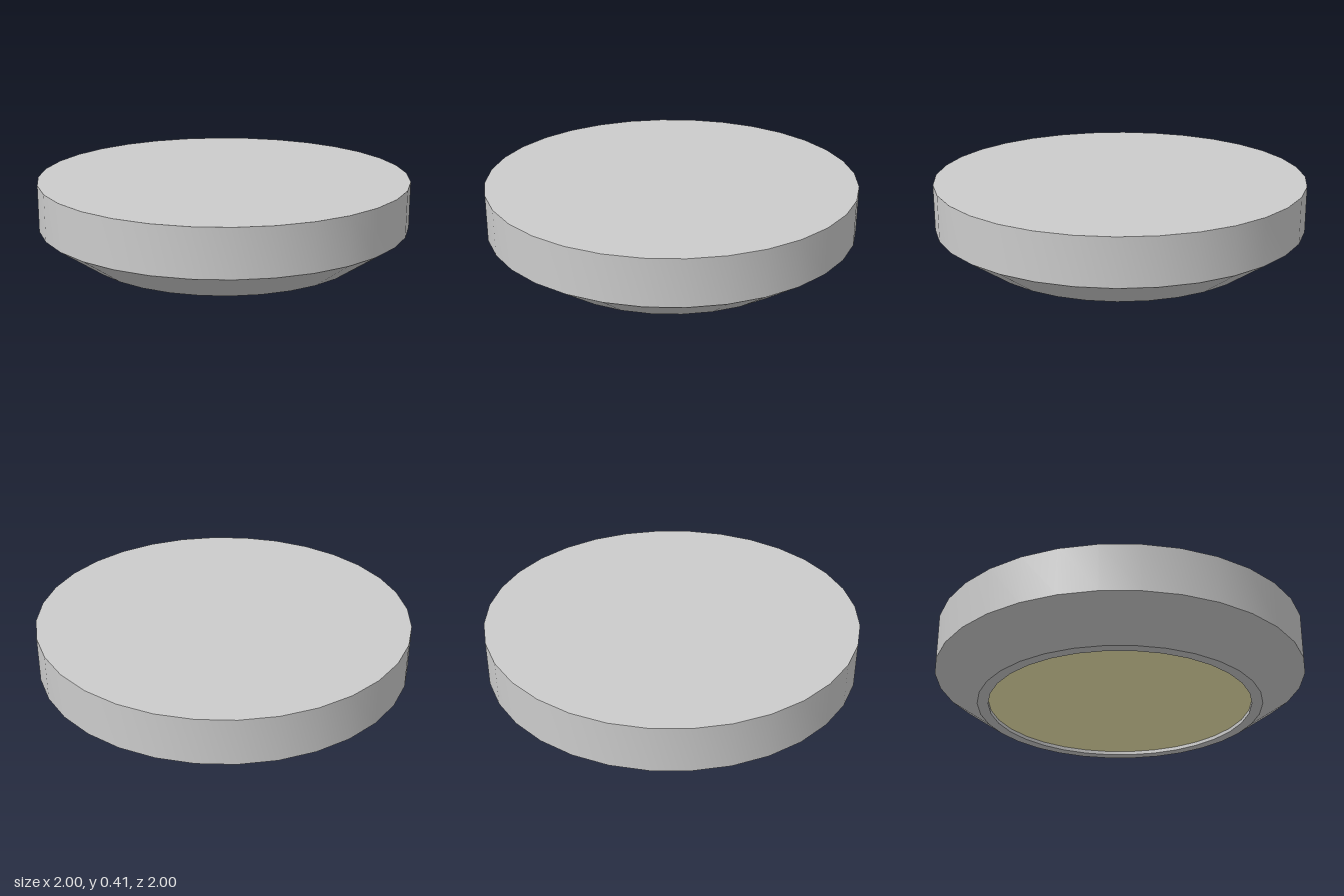
import * as THREE from 'three';
import { toCreasedNormals } from 'three/addons/utils/BufferGeometryUtils.js';

const SIDES = 32;
const HEIGHT = 0.415;      // overall height
const LENS_RADIUS = 0.707;
const RECESS = 0.02;       // depth of the lens behind the rim

export function createModel() {
  const model = new THREE.Group();
  model.name = 'ceilingLamp';

  // Housing: recess wall, flat rim, sloped underside, upright band, top
  const profile = [
    [LENS_RADIUS, RECESS],
    [LENS_RADIUS, 0],
    [0.765, 0],
    [1, 0.165],
    [1, HEIGHT],
    [0, HEIGHT],
  ].map(([r, y]) => new THREE.Vector2(r, y));
  const housing = new THREE.Mesh(
    toCreasedNormals(new THREE.LatheGeometry(profile, SIDES), 0.35),
    new THREE.MeshStandardMaterial({ color: 0xcccccc }),
  );
  housing.name = 'housing';
  model.add(housing);

  // Recessed pale yellow lens, facing down
  const lens = new THREE.Mesh(
    new THREE.CircleGeometry(LENS_RADIUS, SIDES).rotateX(Math.PI / 2),
    new THREE.MeshStandardMaterial({ color: 0xf8f0b4 }),
  );
  lens.position.y = RECESS;
  lens.name = 'lens';
  model.add(lens);

  return model;
}
